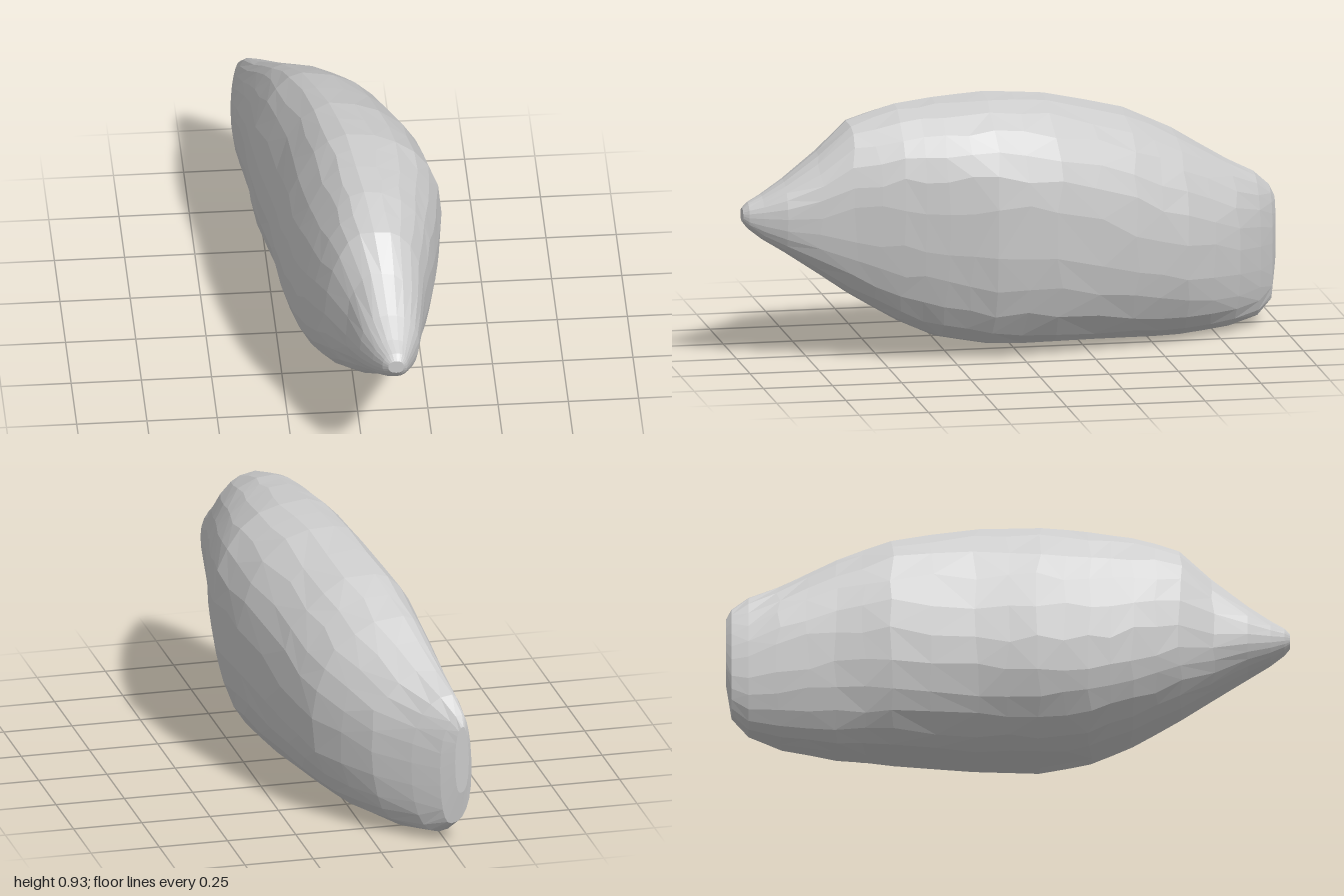
import * as THREE from 'three';

// Cross-sections, front to back:
// z, top x, top y, bottom x, bottom y, left x, left y, right x, right y
const SECTIONS = [
  [1.00, 0.10, 0.57, 0.10, 0.52, 0.07, 0.545, 0.125, 0.545],
  [0.98, 0.10, 0.59, 0.10, 0.495, 0.05, 0.54, 0.14, 0.54],
  [0.93, 0.09, 0.615, 0.10, 0.455, 0.02, 0.53, 0.16, 0.54],
  [0.85, 0.08, 0.665, 0.10, 0.405, -0.02, 0.52, 0.19, 0.54],
  [0.74, 0.07, 0.745, 0.09, 0.33, -0.055, 0.51, 0.21, 0.55],
  [0.62, 0.05, 0.86, 0.08, 0.245, -0.12, 0.50, 0.23, 0.57],
  [0.45, 0.03, 0.91, 0.07, 0.14, -0.185, 0.46, 0.27, 0.58],
  [0.30, 0.01, 0.925, 0.06, 0.07, -0.22, 0.42, 0.30, 0.59],
  [0.12, -0.01, 0.935, 0.06, 0.035, -0.25, 0.40, 0.33, 0.59],
  [-0.10, -0.05, 0.915, 0.02, 0.025, -0.265, 0.40, 0.30, 0.55],
  [-0.40, -0.12, 0.84, -0.08, 0.01, -0.315, 0.42, 0.22, 0.45],
  [-0.60, -0.18, 0.74, -0.15, 0.0, -0.315, 0.41, 0.155, 0.38],
  [-0.80, -0.24, 0.61, -0.19, 0.01, -0.33, 0.35, 0.02, 0.33],
  [-0.92, -0.28, 0.545, -0.23, 0.03, -0.335, 0.29, -0.13, 0.30],
  [-0.98, -0.30, 0.49, -0.26, 0.08, -0.335, 0.28, -0.22, 0.29],
  [-1.00, -0.30, 0.45, -0.29, 0.20, -0.32, 0.32, -0.27, 0.32],
];
const SIDES = 24;

function seeded(seed) {
  return () => {
    seed = (seed * 16807) % 2147483647;
    return seed / 2147483647 - 0.5;
  };
}

// One point on a section: four rounded quarters joining its extreme points.
// The lower quarters are boxier, the upper left one slopes away more flatly.
function sectionPoint([z, tx, ty, bx, by, lx, ly, rx, ry], angle) {
  const s = Math.sin(angle), c = Math.cos(angle);
  const upper = c > 0, right = s > 0;
  const [poleX, poleY] = upper ? [tx, ty] : [bx, by];
  const [sideX, sideY] = right ? [rx, ry] : [lx, ly];
  const power = upper ? (right || z > 0.5 ? 0.92 : 1.05) : 0.85;
  return [
    poleX + (sideX - poleX) * Math.abs(s) ** power,
    sideY + (poleY - sideY) * Math.abs(c) ** power,
    z,
  ];
}

function rockGeometry() {
  const positions = [], index = [], rand = seeded(73);

  // Add a halfway section across the wider gaps
  const rows = [];
  SECTIONS.forEach((row, i) => {
    rows.push(row);
    const next = SECTIONS[i + 1];
    if (next && row[0] - next[0] > 0.14) {
      rows.push(row.map((v, k) => (v + next[k]) / 2));
    }
  });

  // Rings of points, uneven along the body and regular near both ends
  rows.forEach((row, i) => {
    const uneven = Math.abs(row[0]) < 0.82 ? 1 : 0;
    for (let j = 0; j < SIDES; j++) {
      const wobble = j % (SIDES / 2) === 0 ? 0 : 0.3 * uneven * rand();
      const [x, y, z] = sectionPoint(row, ((j + wobble) / SIDES) * Math.PI * 2);
      // Sliding a point lengthwise follows the slope to the next section
      const t = 0.2 * uneven * (rand() + 0.5);
      const next = sectionPoint(
        rows[Math.min(i + 1, rows.length - 1)],
        ((j + wobble) / SIDES) * Math.PI * 2,
      );
      positions.push(x + (next[0] - x) * t, y + (next[1] - y) * t, z + (next[2] - z) * t);
    }
  });

  // Skin, with mixed diagonals for an irregular stone surface
  for (let i = 0; i < rows.length - 1; i++) {
    for (let j = 0; j < SIDES; j++) {
      const k = (j + 1) % SIDES;
      const a = i * SIDES + j, b = i * SIDES + k;
      const c = a + SIDES, d = b + SIDES;
      if (rand() > 0) index.push(a, b, c, b, d, c);
      else index.push(a, b, d, a, d, c);
    }
  }

  // Close the front tip and the blunt back
  const cap = (start, row, front) => {
    const centre = positions.length / 3;
    positions.push((row[1] + row[3]) / 2, (row[2] + row[4]) / 2, row[0]);
    for (let j = 0; j < SIDES; j++) {
      const a = start + j, b = start + ((j + 1) % SIDES);
      if (front) index.push(centre, b, a);
      else index.push(centre, a, b);
    }
  };
  cap(0, rows[0], true);
  cap((rows.length - 1) * SIDES, rows[rows.length - 1], false);

  const geometry = new THREE.BufferGeometry();
  geometry.setAttribute('position', new THREE.Float32BufferAttribute(positions, 3));
  geometry.setIndex(index);
  geometry.computeVertexNormals();
  return geometry;
}

export function createModel() {
  const group = new THREE.Group();
  group.name = 'rock';
  const stone = new THREE.Mesh(
    rockGeometry(),
    new THREE.MeshStandardMaterial({ color: 0xcccccc, flatShading: true }),
  );
  stone.name = 'stone';
  group.add(stone);
  return group;
}
